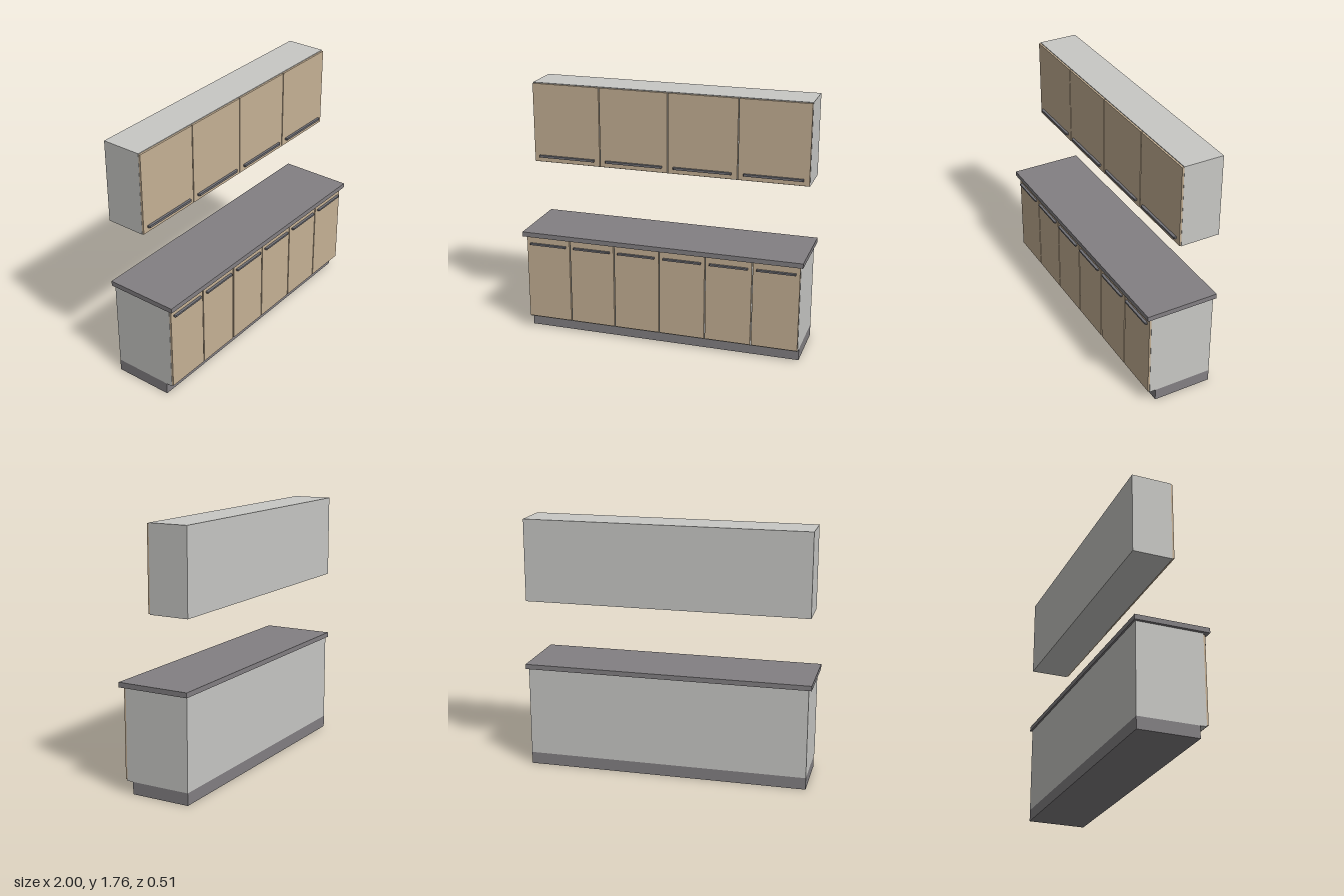
import * as THREE from 'three';

const material = (name, color) => {
  const m = new THREE.MeshStandardMaterial({ color });
  m.name = name;
  return m;
};

export function createModel() {
  const carcassGrey = material('carcassGrey', 0xc8c8c5);
  const doorWood = material('doorWood', 0xc6b195);
  const counterGrey = material('counterGrey', 0x838083);
  const handleGrey = material('handleGrey', 0x707076);

  const model = new THREE.Group();
  model.name = 'kitchenCabinets';

  // Box given by its limits on each axis
  const box = (parent, name, mat, x0, x1, y0, y1, z0, z1) => {
    const mesh = new THREE.Mesh(new THREE.BoxGeometry(x1 - x0, y1 - y0, z1 - z0), mat);
    mesh.position.set((x0 + x1) / 2, (y0 + y1) / 2, (z0 + z1) / 2);
    mesh.name = name;
    parent.add(mesh);
  };

  // Bar handle with bevelled front ends, its back resting at z
  const handle = (parent, x, y, z, length, height, depth) => {
    const h = length / 2, c = 0.006;
    const shape = new THREE.Shape([
      new THREE.Vector2(-h, 0), new THREE.Vector2(h, 0),
      new THREE.Vector2(h, -depth + c), new THREE.Vector2(h - c, -depth),
      new THREE.Vector2(-h + c, -depth), new THREE.Vector2(-h, -depth + c),
    ]);
    const geo = new THREE.ExtrudeGeometry(shape, { depth: height, bevelEnabled: false });
    geo.rotateX(-Math.PI / 2);
    geo.translate(0, -height / 2, 0);
    const mesh = new THREE.Mesh(geo, handleGrey);
    mesh.position.set(x, y, z);
    mesh.name = 'handle';
    parent.add(mesh);
  };

  // Evenly spaced row of doors, each with its handle
  const doorRow = (parent, o) => {
    const pitch = 1.964 / o.count;
    for (let i = 0; i < o.count; i++) {
      const x = -0.982 + pitch * (i + 0.5);
      const half = (pitch - o.gap) / 2;
      const door = new THREE.Group();
      door.name = 'door' + (i + 1);
      box(door, 'doorPanel', doorWood, x - half, x + half, o.y0, o.y1, o.z, o.z + 0.013);
      handle(door, x, o.handleY, o.z + 0.013, o.handleLength, o.handleHeight, 0.018);
      parent.add(door);
    }
  };

  // Base unit: plinth, carcass, worktop and six doors
  const base = new THREE.Group();
  base.name = 'baseUnit';
  box(base, 'plinth', counterGrey, -0.98, 0.98, 0, 0.083, -0.243, 0.173);
  box(base, 'baseCarcass', carcassGrey, -0.98, 0.98, 0.083, 0.706, -0.243, 0.217);
  box(base, 'worktop', counterGrey, -1, 1, 0.706, 0.74, -0.255, 0.255);
  doorRow(base, {
    count: 6, gap: 0.008, y0: 0.093, y1: 0.698, z: 0.217,
    handleY: 0.65, handleLength: 0.268, handleHeight: 0.012,
  });
  model.add(base);

  // Wall unit: carcass and four doors
  const wall = new THREE.Group();
  wall.name = 'wallUnit';
  box(wall, 'wallCarcass', carcassGrey, -0.98, 0.98, 1.195, 1.763, -0.255, 0.02);
  doorRow(wall, {
    count: 4, gap: 0.007, y0: 1.2, y1: 1.758, z: 0.02,
    handleY: 1.24, handleLength: 0.41, handleHeight: 0.015,
  });
  model.add(wall);

  return model;
}
